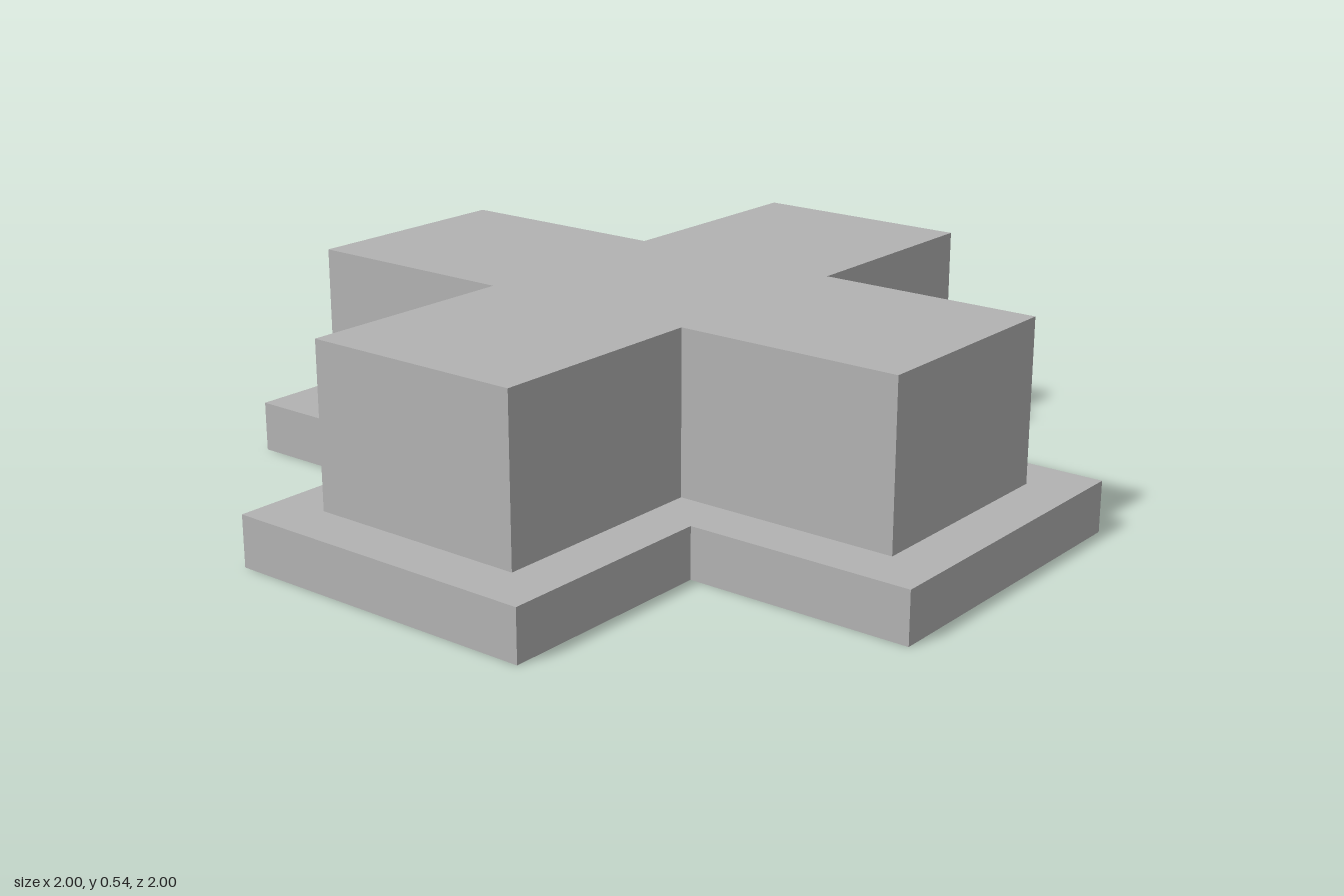
import * as THREE from 'three';

// Upright prism with a plus-shaped plan: arms reach `reach`, half-width `half`
function crossPrism(name, reach, half, bottom, top, material) {
  const quarter = [[reach, -half], [reach, half], [half, half]];
  const points = [];
  for (let i = 0; i < 4; i++) {
    for (const [x, y] of quarter) {
      points.push(new THREE.Vector2(x, y));
    }
    // turn the corner pattern by 90 degrees for the next arm
    quarter.forEach((p) => { [p[0], p[1]] = [-p[1], p[0]]; });
  }
  const geometry = new THREE.ExtrudeGeometry(new THREE.Shape(points), {
    depth: top - bottom,
    bevelEnabled: false,
  });
  geometry.rotateX(-Math.PI / 2);
  geometry.translate(0, bottom, 0);
  const mesh = new THREE.Mesh(geometry, material);
  mesh.name = name;
  return mesh;
}

export function createModel() {
  const grey = new THREE.MeshStandardMaterial({ color: 0xb2b2b2 });
  grey.name = 'light grey';

  const model = new THREE.Group();
  model.name = 'steppedCross';
  // Wide low plinth with a taller, narrower cross on top
  model.add(crossPrism('basePlinth', 1, 0.42, 0, 0.13, grey));
  model.add(crossPrism('upperCross', 0.87, 0.29, 0.13, 0.54, grey));
  return model;
}
